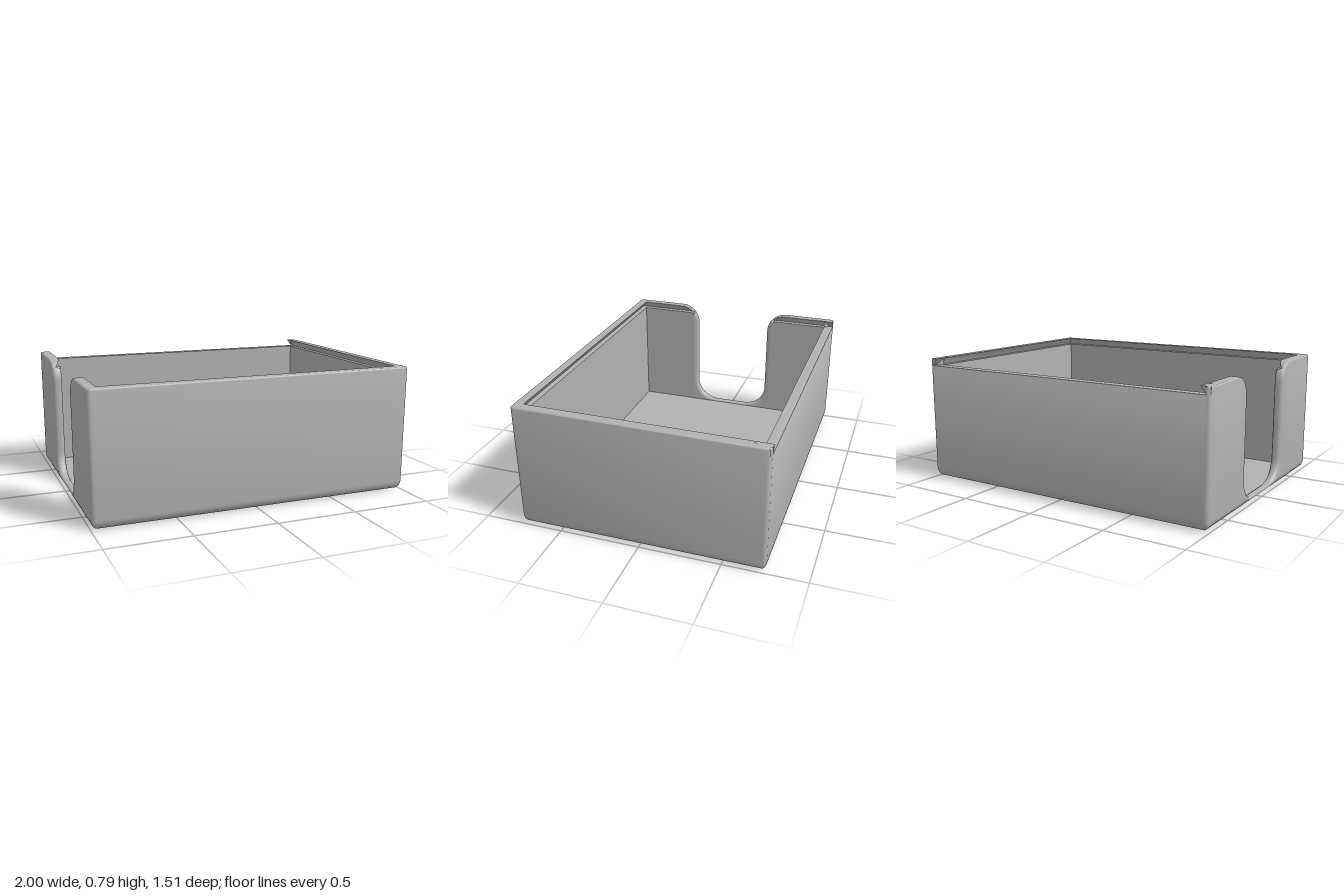
import * as THREE from 'three';
import { toCreasedNormals } from 'three/addons/utils/BufferGeometryUtils.js';

const HX = 1, HZ = 0.755, H = 0.79;      // outer half sizes and height
const T = 0.06, FLOOR = 0.02;            // wall and floor thickness
const R = 0.025, FR = 0.06;              // vertical edge and bottom edge radii
const LEDGE = 0.745, UNDER = 0.025;      // lid groove height and lip thickness at its root

// Inset of the rounded bottom edge at height y
const filletInset = (y) => (y < FR ? FR - Math.sqrt(FR * FR - (FR - y) ** 2) : 0);

// How far an edge rounding of radius r drops at distance u from the edge
const drop = (u, r) => (u < r ? r - Math.sqrt(r * r - (r - u) ** 2) : 0);

// Stations around the box: where each wall section stands and how high it reaches
function stations() {
  const list = [];
  const corner = (k) => {
    const sx = k === 0 || k === 3 ? 1 : -1, sz = k < 2 ? 1 : -1;
    for (let i = 0; i <= 4; i++) {
      const a = (k + i / 4) * Math.PI / 2;
      const at = (d) => {
        const r = Math.max(R - d, 0);
        return [sx * (HX - d - r) + r * Math.cos(a), sz * (HZ - d - r) + r * Math.sin(a)];
      };
      list.push({ at, s: 0, h: H, ns: 0, ny: 1, ro: 0.01, ri: 0 });
    }
  };
  const side = (s, h, ns, ny, ro, ri) =>
    list.push({ at: (d, p) => [-(HX - d), p], s, h, ns, ny, ro, ri });
  const back = (s) => {
    const at = (d, p) => {
      const m = HX - Math.max(d, R);
      return [Math.min(m, Math.max(-m, p)), -(HZ - d)];
    };
    list.push({ at, s, h: LEDGE, ns: 0, ny: 1, ro: 0.003, ri: 0 });
  };

  corner(0);
  corner(1);
  // Finger cutout: convex shoulder, straight drop, concave foot, then mirrored
  const half = [];
  for (let i = 0; i <= 12; i++) {
    const f = i / 12, a = Math.PI / 2 * (1 + f), c = Math.cos(a), n = Math.sin(a);
    half.push([0.40 + 0.13 * c, 0.66 + 0.13 * n, c, n, 0.01 + 0.02 * f, 0.029 * f]);
  }
  for (let i = 0; i <= 12; i++) {
    const a = -Math.PI / 2 * i / 12, c = Math.cos(a), n = Math.sin(a);
    half.push([0.11 + 0.16 * c, 0.19 + 0.16 * n, -c, -n, 0.03, 0.029]);
  }
  half.forEach((p) => side(...p));
  [...half].reverse().forEach(([s, h, ns, ...rest]) => side(-s, h, -ns, ...rest));
  corner(2);
  // The back wall stops at the ledge so the lid can slide in
  back(-(HX - R));
  back(HX - R);
  corner(3);
  return list;
}

// One wall section: bottom rounding, outside, rim, lid groove, inside
function section(st) {
  const ro = Math.min(st.ro, st.h * 0.4), ri = Math.min(st.ri, st.h * 0.4);
  const di = st.h > LEDGE ? UNDER + (st.h - LEDGE) / (H - LEDGE) * (T - UNDER) : T;
  const rim = [];
  let d0 = 0;
  for (let k = 0; k <= 10; k++) {
    const t = 0.5 - 0.5 * Math.cos(Math.PI * k / 10);
    const off = Math.max(drop(t * di, ro), drop((1 - t) * di, ri));
    const y = st.h - st.ny * off;
    if (k === 0) d0 = filletInset(y);
    rim.push([d0 + t * (di - d0), y, st.s - st.ns * off]);
  }
  const first = rim[0], last = rim[10];
  const ring = [];
  for (let k = 0; k <= 6; k++) {
    const y = Math.min(FR * (1 - Math.cos(Math.PI / 2 * k / 6)), first[1]);
    ring.push([filletInset(y), y, first[2]]);
  }
  ring.push(...rim);
  const yl = Math.min(LEDGE, last[1]);
  ring.push([st.h > LEDGE ? UNDER : last[0], yl, last[2]]);
  ring.push([T, yl, last[2]]);
  ring.push([T, Math.min(FLOOR, yl), last[2]]);
  return ring.map(([d, y, s]) => {
    const [x, z] = st.at(d, s);
    return [x, y, z];
  });
}

function wallGeometry() {
  const rings = stations().map(section);
  const m = rings[0].length, index = [];
  rings.forEach((_, i) => {
    const a = i * m, b = ((i + 1) % rings.length) * m;
    for (let j = 0; j < m - 1; j++) {
      index.push(a + j, a + j + 1, b + j + 1, a + j, b + j + 1, b + j);
    }
  });
  const geo = new THREE.BufferGeometry();
  geo.setAttribute('position', new THREE.Float32BufferAttribute(rings.flat(2), 3));
  geo.setIndex(index);
  return toCreasedNormals(geo, 0.7);
}

export function createModel() {
  const group = new THREE.Group();
  const grey = new THREE.MeshStandardMaterial({ color: 0xb2b2b2, side: THREE.DoubleSide });
  grey.name = 'light grey';
  const add = (name, geo, x = 0, y = 0, z = 0) => {
    const mesh = new THREE.Mesh(geo, grey);
    mesh.name = name;
    mesh.position.set(x, y, z);
    group.add(mesh);
    return mesh;
  };

  add('walls', wallGeometry());
  add('floor', new THREE.BoxGeometry(2 * (HX - T), FLOOR, 2 * (HZ - T)), 0, FLOOR / 2, 0);

  // Overhanging lip ends at the open back, and small lid catches
  for (const side of [-1, 1]) {
    const lip = new THREE.Shape([
      new THREE.Vector2(side * (HX - UNDER), LEDGE),
      new THREE.Vector2(side * (HX - UNDER), H),
      new THREE.Vector2(side * (HX - T), H),
    ]);
    const name = side > 0 ? 'left' : 'right';
    add(name + 'LipEnd', new THREE.ExtrudeGeometry(lip, { depth: T, bevelEnabled: false }), 0, 0, -HZ);
    const fill = new THREE.BoxGeometry(UNDER - 0.004, H - LEDGE - 0.004, T);
    add(name + 'LipRoot', fill, side * (HX - UNDER / 2 - 0.002), (H + LEDGE) / 2 - 0.002, -HZ + T / 2 + 0.01);
    add(name + 'Catch', new THREE.CylinderGeometry(0.01, 0.01, 0.004, 16), side * 0.952, H - 0.001, -0.66);
  }
  return group;
}
